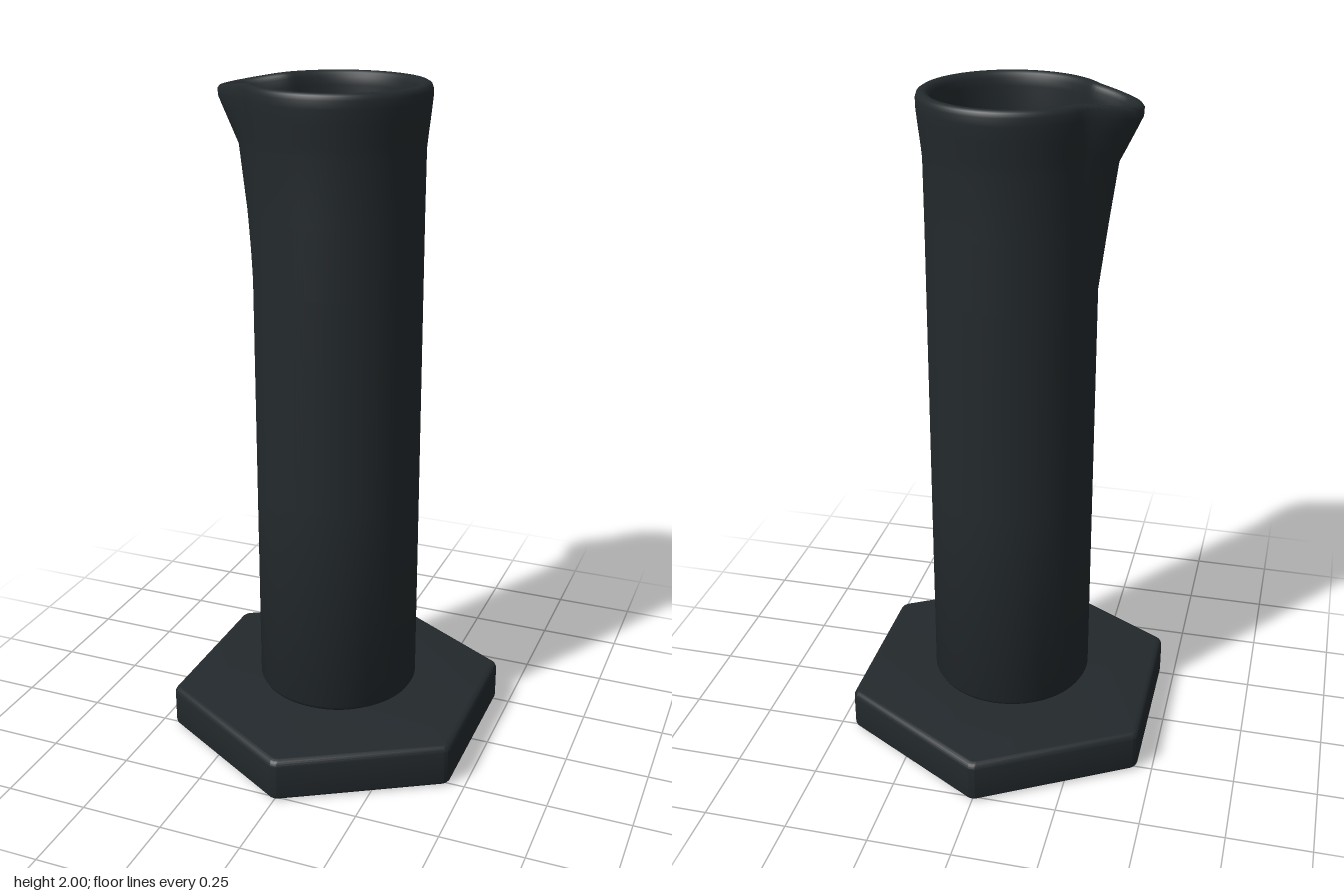
import * as THREE from 'three';
import { mergeVertices, toCreasedNormals } from 'three/addons/utils/BufferGeometryUtils.js';

const material = new THREE.MeshStandardMaterial({ color: 0x23292c });

function addMesh(group, name, geometry) {
  const mesh = new THREE.Mesh(geometry, material);
  mesh.name = name;
  group.add(mesh);
}

// Hexagonal foot with rounded corners and softly bevelled edges
function baseGeometry() {
  const bevel = 0.02, corner = 0.015;
  const reach = (0.455 - bevel - corner) / Math.cos(Math.PI / 6);
  const shape = new THREE.Shape();
  for (let i = 0; i < 6; i++) {
    const a = Math.PI / 2 + i * Math.PI / 3;
    shape.absarc(reach * Math.cos(a), reach * Math.sin(a), corner, a - Math.PI / 6, a + Math.PI / 6, false);
  }
  shape.closePath();
  const geo = new THREE.ExtrudeGeometry(shape, {
    depth: 0.135 - 2 * bevel, bevelSize: bevel, bevelThickness: bevel, bevelSegments: 6, curveSegments: 8,
  });
  geo.rotateX(-Math.PI / 2);
  geo.translate(0, bevel, 0);
  return toCreasedNormals(geo, 0.5);
}

// Hollow tube: a lathed wall whose -x side is pulled out into a pouring spout
function tubeGeometry() {
  // radius, height, outward pull at the spout, drop at the spout
  const profile = [
    [0, 0.13, 0, 0], [0.205, 0.13, 0, 0], [0.218, 0.14, 0, 0], [0.238, 0.153, 0, 0], [0.245, 0.165, 0, 0],
    [0.245, 0.8, 0, 0], [0.245, 1.44, 0, 0], [0.245, 1.64, 0.026, 0], [0.246, 1.82, 0.05, 0],
    [0.25, 1.86, 0.066, 0], [0.257, 1.92, 0.088, 0], [0.261, 1.96, 0.097, 0.012],
    [0.261, 1.983, 0.098, 0.015], [0.257, 1.995, 0.096, 0.019], [0.249, 2, 0.095, 0.021],
    [0.237, 2, 0.095, 0.021], [0.228, 1.995, 0.096, 0.021], [0.222, 1.983, 0.096, 0.02],
    [0.22, 1.96, 0.09, 0.014], [0.217, 1.9, 0.072, 0], [0.215, 1.82, 0.045, 0], [0.215, 1.64, 0.022, 0],
    [0.215, 1.44, 0, 0], [0.215, 0.8, 0, 0], [0.215, 0.2, 0, 0], [0.206, 0.178, 0, 0],
    [0.185, 0.17, 0, 0], [0, 0.17, 0, 0],
  ];
  const segments = 120;
  const geo = new THREE.LatheGeometry(profile.map(([r, y]) => new THREE.Vector2(r, y)), segments);
  const pos = geo.attributes.position;
  const halfWidth = THREE.MathUtils.degToRad(34);
  for (let i = 0; i < pos.count; i++) {
    const [r, y, pull, drop] = profile[i % profile.length];
    const x = pos.getX(i), z = pos.getZ(i);
    const angle = Math.abs(Math.atan2(z, -x));
    if (!pull || angle >= halfWidth) continue;
    const f = Math.cos(angle / halfWidth * Math.PI / 2) ** 2;
    const s = (r + pull * f) / r;
    pos.setXYZ(i, x * s, y - drop * f, z * s);
  }
  // Weld the seam, then smooth
  geo.deleteAttribute('uv');
  geo.deleteAttribute('normal');
  return toCreasedNormals(mergeVertices(geo, 1e-5), 0.7);
}

export function createModel() {
  const group = new THREE.Group();
  group.name = 'measuringCylinder';
  addMesh(group, 'hexagonalBase', baseGeometry());
  addMesh(group, 'spoutedTube', tubeGeometry());
  return group;
}
